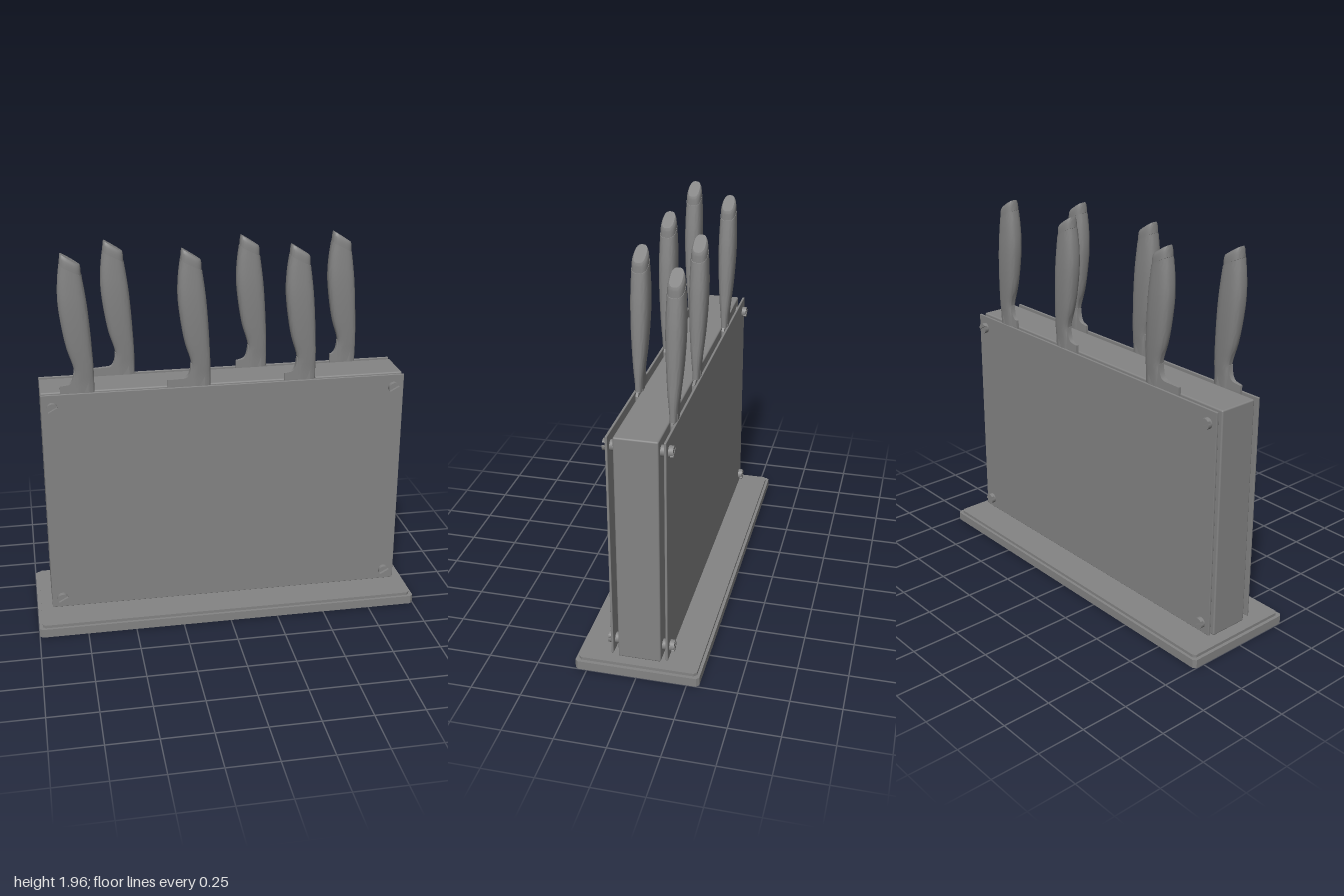
import * as THREE from 'three';
import { toCreasedNormals } from 'three/addons/utils/BufferGeometryUtils.js';
import { RoundedBoxGeometry } from 'three/addons/geometries/RoundedBoxGeometry.js';

const material = new THREE.MeshStandardMaterial({ color: 0x848484 });

function add(parent, name, geometry, x = 0, y = 0, z = 0) {
  const mesh = new THREE.Mesh(geometry, material);
  mesh.name = name;
  mesh.position.set(x, y, z);
  parent.add(mesh);
  return mesh;
}

// Flat slab with clipped corners, lying on y = 0.
function slab(w, d, h) {
  const x = w / 2, z = d / 2, c = 0.014;
  const shape = new THREE.Shape([
    [-x + c, -z], [x - c, -z], [x, -z + c], [x, z - c],
    [x - c, z], [-x + c, z], [-x, z - c], [-x, -z + c],
  ].map(([a, b]) => new THREE.Vector2(a, b)));
  return new THREE.ExtrudeGeometry(shape, { depth: h, bevelEnabled: false }).rotateX(-Math.PI / 2);
}

// Closed loft through slanted oval slices: [leftX, leftY, rightX, rightY, halfThickness].
function loft(slices, steps) {
  const n = 32, positions = [], index = [];
  const left = new THREE.CatmullRomCurve3(slices.map(s => new THREE.Vector3(s[0], s[1], s[4])));
  const right = new THREE.CatmullRomCurve3(slices.map(s => new THREE.Vector3(s[2], s[3], s[4])));
  const squarish = v => Math.sign(v) * Math.abs(v) ** 0.72;
  for (let i = 0; i <= steps; i++) {
    const l = left.getPoint(i / steps), r = right.getPoint(i / steps);
    for (let j = 0; j < n; j++) {
      const a = (j / n) * Math.PI * 2;
      const u = (squarish(Math.cos(a)) + 1) / 2;
      positions.push(l.x + (r.x - l.x) * u, l.y + (r.y - l.y) * u, l.z * squarish(Math.sin(a)));
    }
  }
  for (let i = 0; i < steps; i++) {
    for (let j = 0; j < n; j++) {
      const a = i * n + j, b = i * n + (j + 1) % n;
      index.push(a, a + n, b, b, a + n, b + n);
    }
  }
  const top = steps * n;
  for (let j = 1; j < n - 1; j++) {
    index.push(0, j, j + 1, top, top + j + 1, top + j);
  }
  const geometry = new THREE.BufferGeometry();
  geometry.setAttribute('position', new THREE.Float32BufferAttribute(positions, 3));
  geometry.setIndex(index);
  return toCreasedNormals(geometry, 0.6);
}

const gripGeometry = loft([
  [-0.100, 1.262, 0, 1.262, 0.018],
  [-0.100, 1.320, 0, 1.315, 0.021],
  [-0.097, 1.380, 0, 1.380, 0.027],
  [-0.128, 1.490, -0.004, 1.480, 0.036],
  [-0.150, 1.620, -0.011, 1.600, 0.043],
  [-0.160, 1.730, -0.020, 1.710, 0.045],
  [-0.156, 1.830, -0.030, 1.790, 0.043],
  [-0.146, 1.908, -0.039, 1.852, 0.040],
], 28);

// Slightly inset from the grip, leaving a fine seam.
const capGeometry = loft([
  [-0.144, 1.908, -0.041, 1.852, 0.0385],
  [-0.142, 1.932, -0.042, 1.875, 0.038],
  [-0.140, 1.951, -0.043, 1.892, 0.035],
  [-0.138, 1.962, -0.045, 1.902, 0.029],
], 6);

// Heel that sweeps out of the neck and thins towards the cutting edge.
function heelGeometry(width) {
  const shape = new THREE.Shape();
  shape.moveTo(-0.03, 1.262);
  shape.lineTo(-0.03, 1.38);
  shape.lineTo(-0.098, 1.38);
  shape.bezierCurveTo(-0.1, 1.33, -0.112, 1.305, -0.135, 1.303);
  shape.lineTo(-width, 1.298);
  shape.lineTo(-width, 1.266);
  const geometry = new THREE.ExtrudeGeometry(shape, { depth: 2, bevelEnabled: false, curveSegments: 8 });
  geometry.translate(0, 0, -1);
  const p = geometry.attributes.position;
  for (let i = 0; i < p.count; i++) {
    const t = (-p.getX(i) - 0.03) / (width - 0.03);
    p.setZ(i, p.getZ(i) * THREE.MathUtils.lerp(0.02, 0.007, t));
  }
  return toCreasedNormals(geometry, 0.6);
}

// Thin blade hanging down, its edge curving to a point at the spine.
function bladeGeometry(width, spine, tipY) {
  const shape = new THREE.Shape();
  const length = 1.262 - tipY;
  shape.moveTo(-width, 1.266);
  shape.lineTo(-width + 0.01, 1.262 - length * 0.5);
  shape.quadraticCurveTo(-width + 0.02, tipY + length * 0.15, spine - 0.01, tipY);
  shape.lineTo(spine, 1.25);
  shape.lineTo(0, 1.266);
  return new THREE.ExtrudeGeometry(shape, { depth: 0.013, bevelEnabled: false }).translate(0, 0, -0.0065);
}

// Slotted screw with a spacer, pointing along +z.
function makeScrew() {
  const screw = new THREE.Group();
  screw.name = 'screw';
  const disc = (name, r, z0, z1) =>
    add(screw, name, new THREE.CylinderGeometry(r, r, z1 - z0, 24).rotateX(Math.PI / 2), 0, 0, (z0 + z1) / 2);
  disc('spacer', 0.027, 0.104, 0.13);
  disc('screwHead', 0.028, 0.14, 0.15);
  const half = new THREE.Shape();
  half.absarc(0, 0, 0.028, 0.2, Math.PI - 0.2, false);
  const halfGeometry = new THREE.ExtrudeGeometry(half, { depth: 0.015, bevelEnabled: false, curveSegments: 14 });
  for (const turn of [0, Math.PI]) {
    add(screw, 'screwHeadHalf', halfGeometry, 0, 0, 0.15).rotation.z = turn + 0.5;
  }
  return screw;
}

export function createModel() {
  const model = new THREE.Group();
  model.name = 'knifeBlock';

  // Stepped base
  add(model, 'base', slab(2, 0.62, 0.045));
  add(model, 'baseStep', slab(1.965, 0.59, 0.016), 0, 0.044, 0);

  // Central block, set slightly off the middle of the base
  const holder = new THREE.Group();
  holder.name = 'holder';
  holder.position.x = 0.005;
  model.add(holder);
  add(holder, 'block', new RoundedBoxGeometry(1.856, 1.202, 0.212, 2, 0.008), 0, 0.661, 0);

  // Cover panel with four screws on each face
  for (const turn of [0, Math.PI]) {
    const side = new THREE.Group();
    side.name = turn ? 'backCover' : 'frontCover';
    side.rotation.y = turn;
    add(side, 'panel', new RoundedBoxGeometry(1.856, 1.187, 0.012, 1, 0.003), 0, 0.6685, 0.136);
    for (const x of [-0.873, 0.873]) {
      for (const y of [0.13, 1.195]) {
        const screw = makeScrew();
        screw.position.set(x, y, 0);
        side.add(screw);
      }
    }
    holder.add(side);
  }

  // Knives: spine x, z, heel width, spine overhang, tip height
  const knives = [
    [-0.660, 0.117, 0.170, 0, 0.48],
    [-0.080, 0.117, 0.215, 0.008, 0.48],
    [0.460, 0.117, 0.160, 0.018, 0.48],
    [-0.435, -0.118, 0.225, 0.015, 0.20],
    [0.255, -0.118, 0.160, 0.04, 0.38],
    [0.735, -0.121, 0.135, 0.004, 0.75],
  ];
  for (const [x, z, width, spine, tipY] of knives) {
    const knife = new THREE.Group();
    knife.name = 'knife';
    knife.position.set(x, 0, z);
    add(knife, 'grip', gripGeometry);
    add(knife, 'gripCap', capGeometry);
    add(knife, 'heel', heelGeometry(width));
    add(knife, 'blade', bladeGeometry(width, spine, tipY));
    holder.add(knife);
  }
  return model;
}
